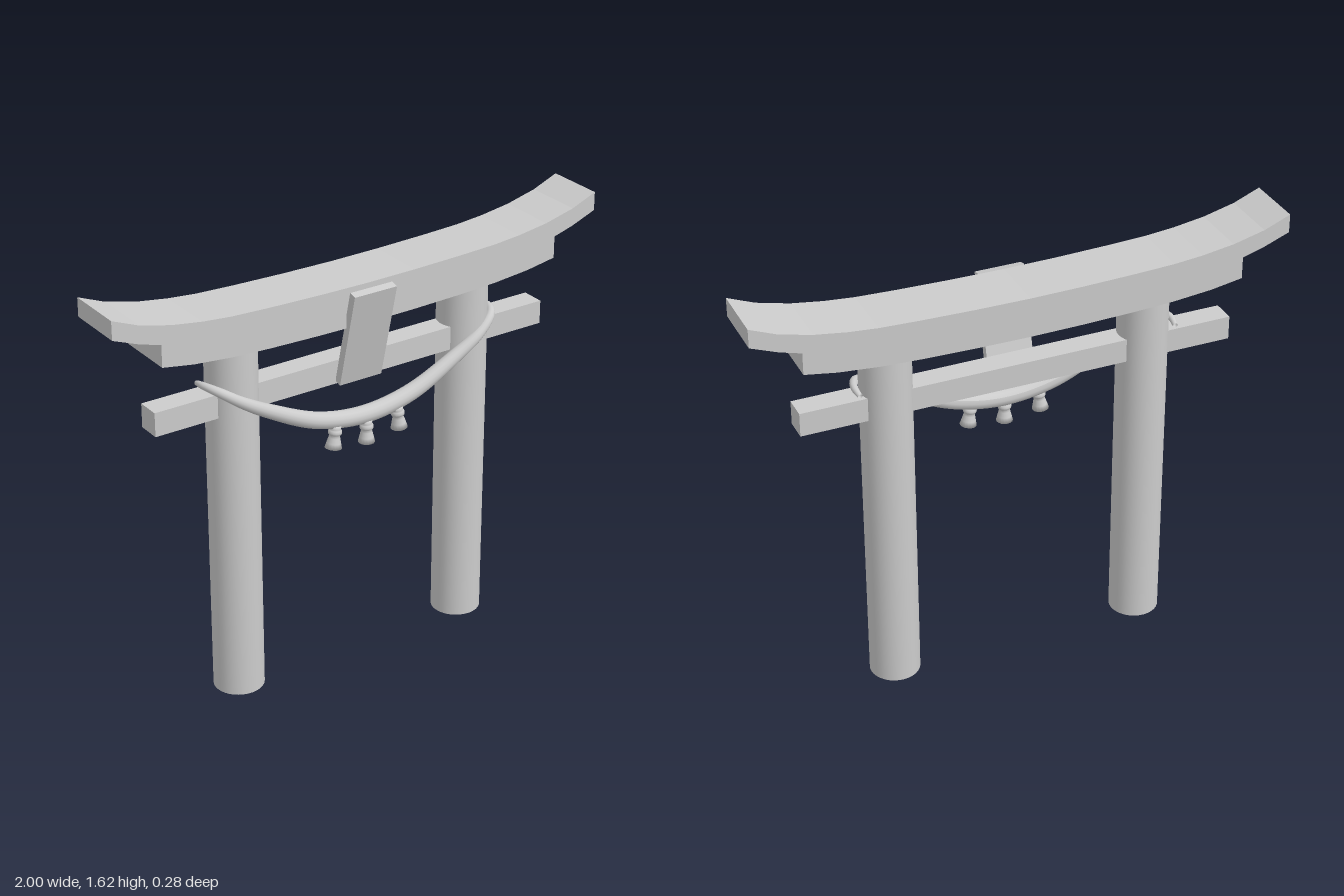
import * as THREE from 'three';

const material = new THREE.MeshStandardMaterial({ color: 0xcccccc });
const openMaterial = new THREE.MeshStandardMaterial({ color: 0xcccccc, side: THREE.DoubleSide });

function add(parent, name, geometry, x = 0, y = 0, z = 0, mat = material) {
  const mesh = new THREE.Mesh(geometry, mat);
  mesh.name = name;
  mesh.position.set(x, y, z);
  parent.add(mesh);
  return mesh;
}

// Upswept lintel: half outlines mirrored in x, then extruded in depth
function lintelGeometry() {
  const top = [[0, 1.508], [0.2, 1.51], [0.4, 1.515], [0.55, 1.521], [0.66, 1.531],
    [0.78, 1.549], [0.9, 1.579], [1, 1.62]];
  const bottom = [[1, 1.55], [0.9, 1.511], [0.82, 1.488], [0.82, 1.405], [0.7, 1.385],
    [0.55, 1.371], [0.4, 1.364], [0.2, 1.359], [0, 1.357]];
  const right = [...top, ...bottom];
  const left = right.slice(1, -1).reverse().map(([x, y]) => [-x, y]);
  const shape = new THREE.Shape([...right, ...left].map(([x, y]) => new THREE.Vector2(x, y)).reverse());
  return new THREE.ExtrudeGeometry(shape, { depth: 0.228, bevelEnabled: false });
}

// Sagging rope, thick in the middle and thin where it wraps the pillars
function ropeGeometry() {
  const half = [[0.6, 1.226, -0.07], [0.604, 1.236, -0.02], [0.575, 1.226, 0.04],
    [0.5, 1.178, 0.069], [0.4, 1.12, 0.071], [0.2, 1.028, 0.073]];
  const points = [
    ...half.map(([x, y, z]) => new THREE.Vector3(-x, y, z)),
    new THREE.Vector3(0, 0.997, 0.074),
    ...half.reverse().map(([x, y, z]) => new THREE.Vector3(x, y, z)),
  ];
  const curve = new THREE.CatmullRomCurve3(points);
  const segments = 80, sides = 14;
  const geometry = new THREE.TubeGeometry(curve, segments, 1, sides);
  const pos = geometry.attributes.position;
  const v = new THREE.Vector3();
  for (let i = 0; i <= segments; i++) {
    const center = curve.getPointAt(i / segments);
    const radius = 0.009 + 0.024 * Math.pow(Math.sin(Math.PI * i / segments), 0.8);
    for (let j = 0; j <= sides; j++) {
      const k = i * (sides + 1) + j;
      v.fromBufferAttribute(pos, k).sub(center).multiplyScalar(radius).add(center);
      pos.setXYZ(k, v.x, v.y, v.z);
    }
  }
  geometry.computeVertexNormals();
  return geometry;
}

// Tassel: bound knob, narrow neck and flared skirt, hanging from its origin
function tasselGeometry() {
  const profile = [[0, -0.085], [0.031, -0.085], [0.026, -0.065], [0.021, -0.045], [0.019, -0.036],
    [0.024, -0.032], [0.026, -0.024], [0.023, -0.016], [0.019, -0.012], [0.022, 0], [0, 0.008]];
  return new THREE.LatheGeometry(profile.map(([r, y]) => new THREE.Vector2(r, y)), 16);
}

export function createModel() {
  const gate = new THREE.Group();
  gate.name = 'gate';

  // Pillars, open at the ends
  const pillar = new THREE.CylinderGeometry(0.094, 0.094, 1.37, 32, 1, true);
  add(gate, 'rightPillar', pillar, -0.491, 0.685, -0.023, openMaterial);
  add(gate, 'leftPillar', pillar, 0.491, 0.685, -0.023, openMaterial);

  // Beams
  add(gate, 'lintel', lintelGeometry(), 0, 0, -0.14);
  add(gate, 'tieBeam', new THREE.BoxGeometry(1.64, 0.09, 0.09), 0, 1.165, -0.023);

  // Leaning plaque
  const plaque = add(gate, 'plaque', new THREE.BoxGeometry(0.176, 0.382, 0.03), 0, 1.31, 0.078);
  plaque.rotation.x = 0.245;

  // Rope and its tassels
  add(gate, 'rope', ropeGeometry(), 0, 0, 0, openMaterial);
  const tassel = tasselGeometry();
  for (const side of [-1, 0, 1]) {
    const mesh = add(gate, 'tassel', tassel, side * 0.132, side ? 0.993 : 0.977, 0.083);
    mesh.rotation.z = side * 0.12;
  }
  return gate;
}
